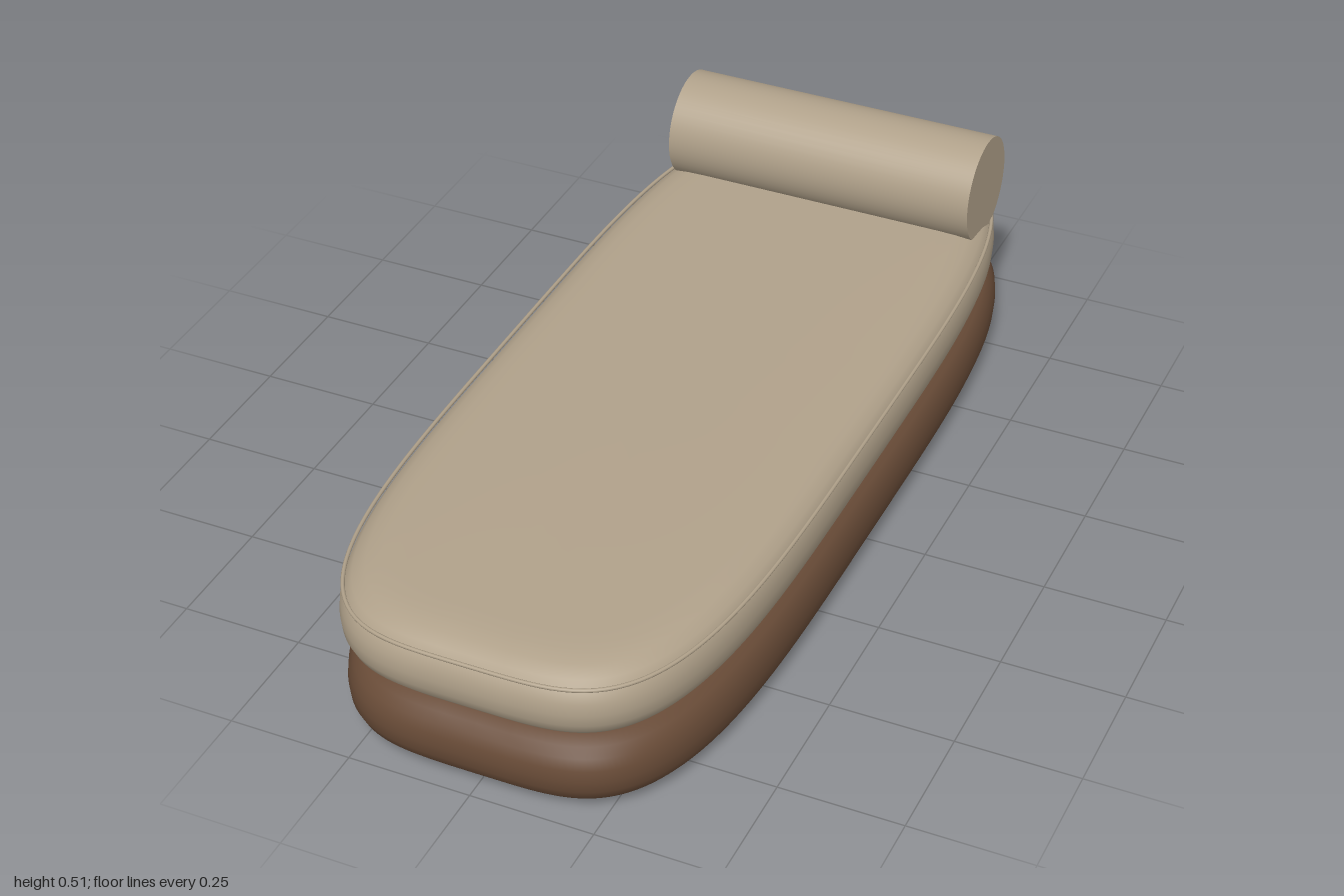
import * as THREE from 'three';
import { mergeVertices } from 'three/addons/utils/BufferGeometryUtils.js';

const HALF_WIDTH = 0.4;

// Squared-oval plan outline: unit direction for an angle
const squarish = (v) => Math.sign(v) * Math.sqrt(Math.abs(v));

// Soft slab: a lathed edge profile remapped to the squared-oval plan
function slab(name, material, y0, height, zCentre, halfLength) {
  const lower = [[0, 0], [0.17, 0], [0.3, 0.001], [0.335, 0.003], [0.36, 0.009],
    [0.38, 0.021], [0.391, 0.037], [0.398, 0.058]];
  const upper = lower.map(([r, y]) => [r, height - y]).reverse();
  const points = [...lower, [0.4, height / 2], ...upper].map(([r, y]) => new THREE.Vector2(r, y));
  let geometry = new THREE.LatheGeometry(points, 192);
  const pos = geometry.attributes.position;
  const innerLength = halfLength - 1.35 * (HALF_WIDTH - 0.3);
  for (let i = 0; i < pos.count; i++) {
    const x = pos.getX(i), z = pos.getZ(i);
    const r = Math.hypot(x, z);
    if (r < 1e-6) continue;
    const rz = r > 0.3 ? halfLength - 1.35 * (HALF_WIDTH - r) : innerLength * r / 0.3;
    pos.setX(i, r * squarish(x / r));
    pos.setZ(i, rz * squarish(z / r));
  }
  geometry.deleteAttribute('uv');
  geometry.deleteAttribute('normal');
  geometry = mergeVertices(geometry, 1e-5);
  geometry.computeVertexNormals();
  const mesh = new THREE.Mesh(geometry, material);
  mesh.name = name;
  mesh.position.set(0, y0, zCentre);
  return mesh;
}

export function createModel() {
  const group = new THREE.Group();
  group.name = 'daybed';
  const fabric = new THREE.MeshStandardMaterial({ color: 0xb0a18a });
  fabric.name = 'beige fabric';
  const wood = new THREE.MeshStandardMaterial({ color: 0x684b37 });
  wood.name = 'brown base';

  // Base and mattress
  group.add(slab('base', wood, 0, 0.165, -0.005, 0.995));
  group.add(slab('mattress', fabric, 0.165, 0.165, 0.0175, 0.9825));

  // Piping around the upper edge of the mattress
  const path = [];
  for (let i = 0; i < 96; i++) {
    const a = (i / 96) * Math.PI * 2;
    path.push(new THREE.Vector3(0.394 * squarish(Math.sin(a)), 0.299, 0.0175 + 0.972 * squarish(Math.cos(a))));
  }
  const piping = new THREE.Mesh(
    new THREE.TubeGeometry(new THREE.CatmullRomCurve3(path, true), 240, 0.004, 8, true), fabric);
  piping.name = 'piping';
  group.add(piping);

  // Bolster pillow lying across the head end
  const bolster = new THREE.Mesh(new THREE.CylinderGeometry(0.113, 0.113, 0.68, 48), fabric);
  bolster.name = 'bolster';
  bolster.rotation.z = Math.PI / 2;
  bolster.position.set(0, 0.402, -0.727);
  group.add(bolster);

  return group;
}
